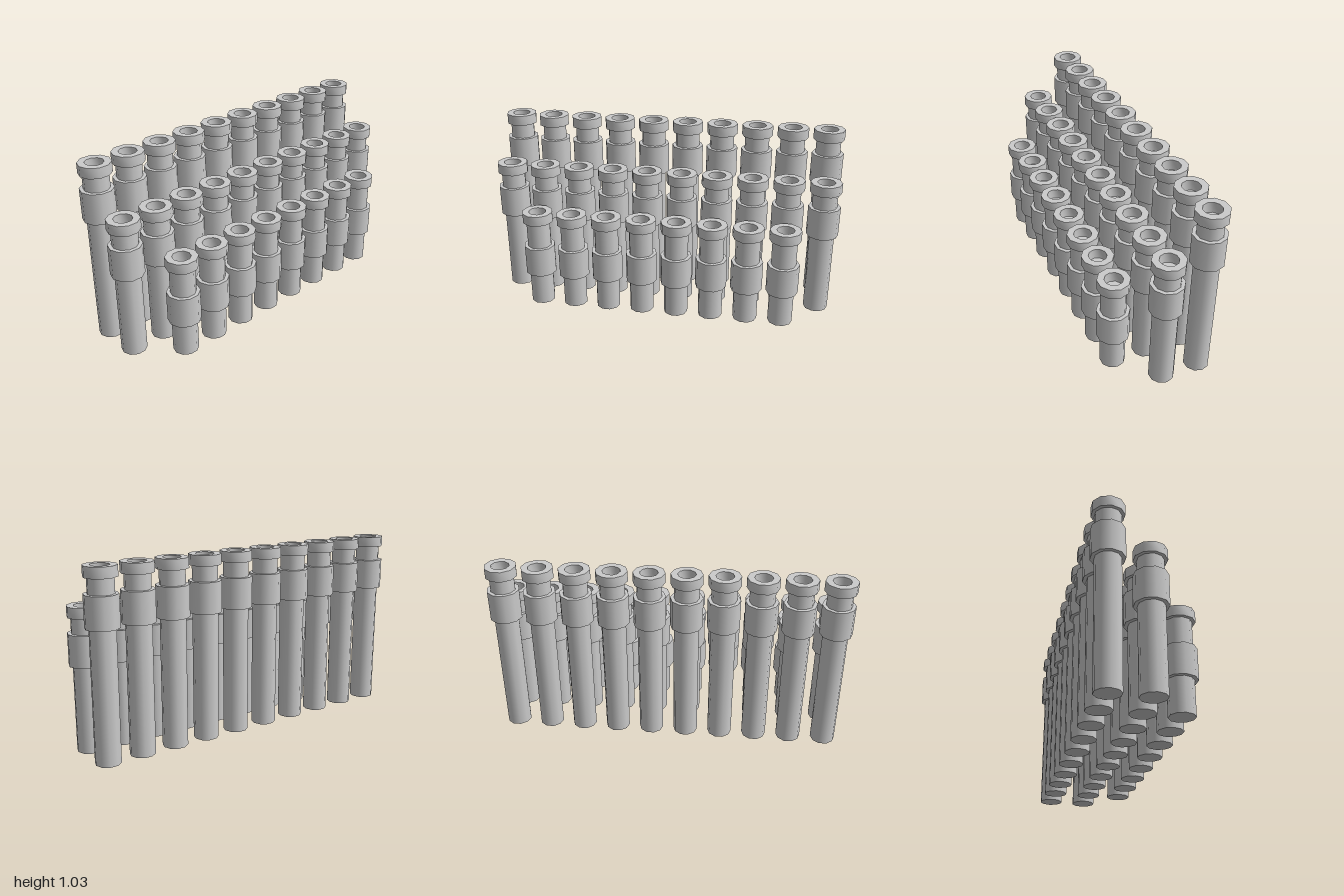
import * as THREE from 'three';
import { toCreasedNormals } from 'three/addons/utils/BufferGeometryUtils.js';

const SIDES = 10;
const SPACING = 0.202;
const COLLAR_H = 0.058;
const BAND_H = 0.172;

// Flanged ring with an open bore, base at y = 0
function collarGeometry() {
  const profile = [[0.05, 0], [0.088, 0], [0.088, COLLAR_H], [0.05, COLLAR_H], [0.05, 0]]
    .map(([r, y]) => new THREE.Vector2(r, y));
  return toCreasedNormals(new THREE.LatheGeometry(profile, SIDES), 0.9);
}

export function createModel() {
  const model = new THREE.Group();
  model.name = 'pipeRack';
  const material = new THREE.MeshStandardMaterial({ color: 0xcccccc });

  const bandGeo = new THREE.CylinderGeometry(0.09, 0.09, BAND_H, SIDES);
  const collarGeo = collarGeometry();

  // Three stepped rows of pipes running along z
  const rows = [
    { name: 'tallRow', x: -0.205, top: 1.028, bandY: 0.8, count: 10 },
    { name: 'middleRow', x: 0.008, top: 0.79, bandY: 0.56, count: 10 },
    { name: 'shortRow', x: 0.202, top: 0.573, bandY: 0.278, count: 8 },
  ];

  for (const { name, x, top, bandY, count } of rows) {
    const row = new THREE.Group();
    row.name = name;
    row.position.x = x;
    model.add(row);

    // Shaft ends under the collar, so its top closes the bore
    const shaftH = top - COLLAR_H;
    const shaftGeo = new THREE.CylinderGeometry(0.0695, 0.0695, shaftH, SIDES);

    for (let i = 0; i < count; i++) {
      const pipe = new THREE.Group();
      pipe.name = 'pipe';
      pipe.position.z = (i - (count - 1) / 2) * SPACING;
      const add = (part, geometry, y) => {
        const mesh = new THREE.Mesh(geometry, material);
        mesh.name = part;
        mesh.position.y = y;
        pipe.add(mesh);
      };
      add('shaft', shaftGeo, shaftH / 2);
      add('band', bandGeo, bandY);
      add('collar', collarGeo, shaftH);
      row.add(pipe);
    }
  }
  return model;
}
